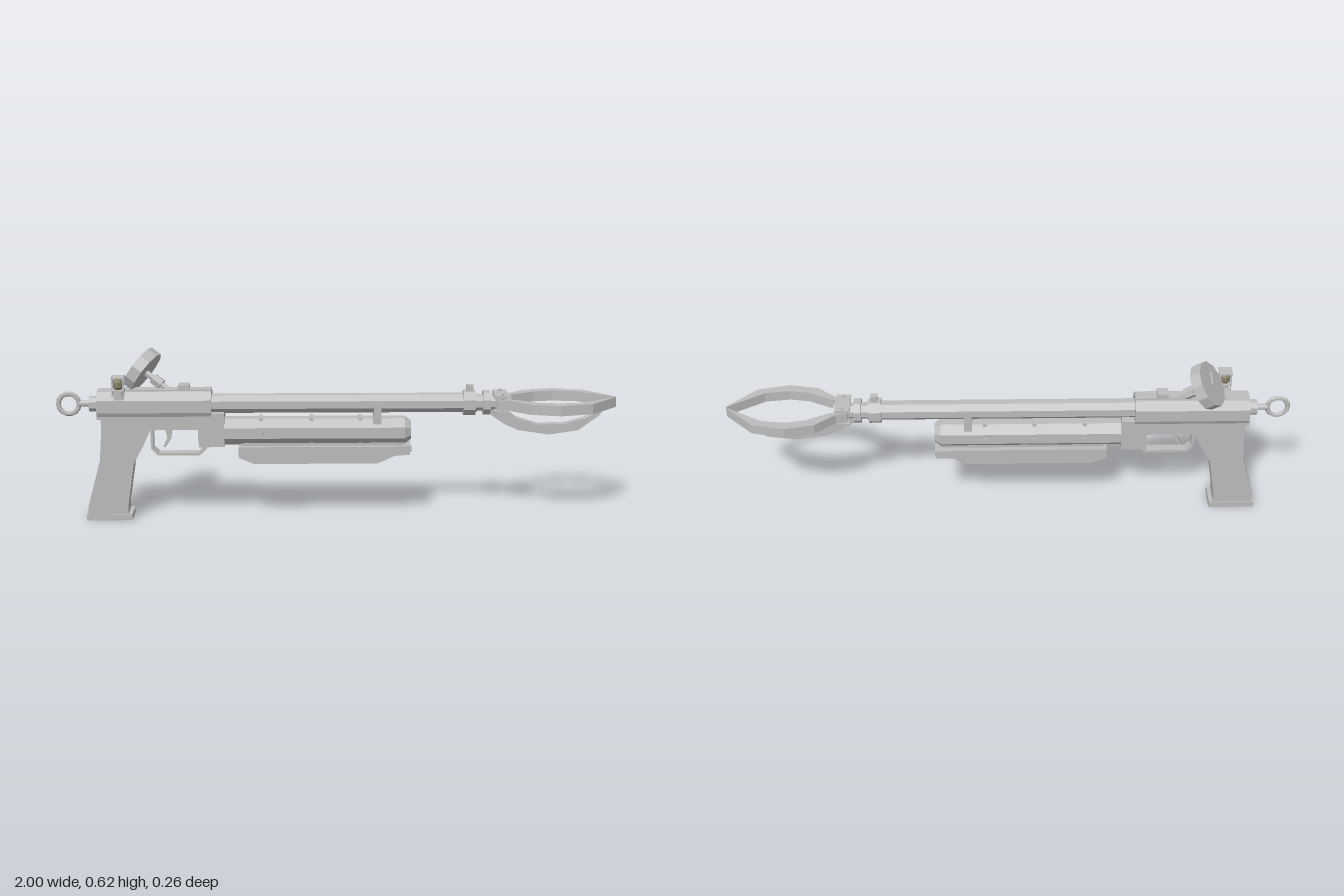
import * as THREE from 'three';

export function createModel() {
  const model = new THREE.Group();
  model.name = 'clawLauncher';
  const metal = new THREE.MeshStandardMaterial({ color: 0xbcbcbc, flatShading: true });
  metal.name = 'grey metal';
  const glass = new THREE.MeshStandardMaterial({ color: 0x86826a, flatShading: true });
  glass.name = 'olive glass';

  function add(name, geometry, material = metal) {
    const mesh = new THREE.Mesh(geometry, material);
    mesh.name = name;
    model.add(mesh);
    return mesh;
  }
  // Box given by its limits on each axis
  function box(name, x0, x1, y0, y1, z0, z1) {
    const g = new THREE.BoxGeometry(x1 - x0, y1 - y0, z1 - z0);
    g.translate((x0 + x1) / 2, (y0 + y1) / 2, (z0 + z1) / 2);
    return add(name, g);
  }
  // Faceted rod along x; r0 at the rear, r1 at the front
  function rod(name, x0, x1, y, r0, r1 = r0, sides = 8, z = 0) {
    const g = new THREE.CylinderGeometry(r1, r0, x1 - x0, sides, 1, false, Math.PI / sides);
    g.rotateZ(-Math.PI / 2).translate((x0 + x1) / 2, y, z);
    return add(name, g);
  }
  function extrude(points, depth, holes = []) {
    const toV = p => p.map(([a, b]) => new THREE.Vector2(a, b));
    const shape = new THREE.Shape(toV(points));
    holes.forEach(h => shape.holes.push(new THREE.Path(toV(h))));
    return new THREE.ExtrudeGeometry(shape, { depth, bevelEnabled: false }).translate(0, 0, -depth / 2);
  }
  // Side profile centred on z = 0
  const side = (name, points, depth, holes) => add(name, extrude(points, depth, holes));
  // Cross-section in (z, y) swept from x0 to x1
  function section(name, points, x0, x1) {
    const g = extrude(points, x1 - x0);
    g.rotateY(Math.PI / 2).translate((x0 + x1) / 2, 0, 0);
    return add(name, g);
  }

  // Receiver, frame and grip
  section('receiver', [[-.048, .385], [.048, .385], [.055, .40], [.055, .445], [.03, .472], [-.03, .472], [-.055, .445], [-.055, .40]], -.85, -.445);
  box('receiverTopRail', -.77, -.447, .465, .477, -.022, .022);
  box('rearSight', -.563, -.522, .47, .492, -.022, .022);
  box('rearBlock', -.85, -.8, .374, .39, -.048, .048);
  side('gripAndFrame', [[-.837, .39], [-.837, .33], [-.845, .225], [-.893, .05], [-.893, .02], [-.75, .02],
    [-.75, .05], [-.725, .21], [-.69, .275], [-.662, .335], [-.44, .335], [-.44, .39]], .09);
  box('gripBase', -.9, -.735, 0, .022, -.048, .048);
  box('frontBlock', -.49, -.4, .272, .395, -.047, .047);

  // Trigger and guard
  side('triggerGuard', [[-.665, .335], [-.665, .258], [-.64, .233], [-.49, .233], [-.465, .258], [-.465, .275], [-.49, .275], [-.49, .335]], .034,
    [[[-.655, .332], [-.655, .262], [-.636, .243], [-.494, .243], [-.478, .26], [-.495, .275], [-.495, .332]]]);
  side('trigger', [[-.615, .34], [-.59, .34], [-.592, .295], [-.612, .262], [-.622, .262], [-.606, .296]], .018);

  // Barrel and its collars
  rod('barrel', -.45, .5, .422, .035);
  rod('muzzleCollar', .452, .495, .422, .046);
  rod('muzzleNeck', .49, .525, .422, .03);
  rod('muzzleRing', .522, .548, .422, .044);
  rod('clawNeck', .54, .62, .422, .028);
  box('frontSight', .463, .487, .455, .487, -.012, .012);
  box('barrelPost', .132, .16, .345, .432, -.037, .037);

  // Air tank with small side bands
  rod('tank', -.41, .243, .322, .051);
  rod('tankCap', .243, .266, .322, .051, .034);
  for (const x of [-.27, -.09, .085]) {
    for (const y of [.278, .367]) box('tankBand', x - .007, x + .007, y - .006, y + .006, -.026, .026);
    for (const z of [-.048, .048]) box('tankStud', x - .007, x + .007, .316, .328, z - .006, z + .006);
  }

  // Fore grip with its front cross bar
  side('foreGrip', [[-.35, .27], [-.35, .23], [-.295, .208], [.147, .208], [.205, .235], [.25, .24], [.25, .27]], .086);
  box('foreGripRail', -.34, .25, .262, .28, -.025, .025);
  box('crossBar', .235, .266, .262, .274, -.056, .056);
  for (const s of [-1, 1]) {
    box('sidePlate', .205, .262, .24, .272, s * .046 - .003, s * .046 + .003);
    box('barEnd', .24, .266, .255, .277, s * .053 - .004, s * .053 + .004);
  }

  // Claw mount
  for (const y of [.395, .451]) box('clawPlate', .56, .612, y - .005, y + .005, -.05, .05);
  box('clawHub', .565, .605, .398, .448, -.03, .03);
  for (const z of [-.037, .037]) {
    const pin = add('clawPin', new THREE.CylinderGeometry(.008, .008, .076, 6));
    pin.position.set(.588, .423, z);
  }

  // Two side claws and one lower claw
  for (const s of [-1, 1]) {
    const pts = [[.57, .025], [.57, .046], [.61, .052], [.68, .11], [.785, .132], [.9, .105], [.985, .018], [1, .001],
      [.975, .017], [.87, .083], [.785, .094], [.715, .083], [.635, .042]].map(([x, z]) => [x, s * z]);
    const g = extrude(pts, .037);
    g.rotateX(Math.PI / 2).translate(0, .422, 0);
    add(s > 0 ? 'leftClaw' : 'rightClaw', g);
  }
  side('lowerClaw', [[.53, .41], [.53, .393], [.6, .345], [.65, .322], [.76, .305], [.865, .32], [.94, .375], [.96, .405],
    [.9, .368], [.82, .345], [.72, .342], [.64, .368], [.59, .41]], .028);

  // Pull ring at the rear
  rod('rearPlug', -.88, -.85, .422, .028);
  rod('pullRod', -.92, -.875, .422, .011);
  add('pullRing', new THREE.TorusGeometry(.037, .009, 6, 14)).position.set(-.954, .422, 0);

  // Pressure gauge on a tilted stem
  const axis = new THREE.Vector3(-.79, .57, -.24).normalize();
  const foot = new THREE.Vector3(-.605, .475, -.005);
  function gaugePart(name, r, from, to, sides) {
    const m = add(name, new THREE.CylinderGeometry(r, r, to - from, sides));
    m.quaternion.setFromUnitVectors(new THREE.Vector3(0, 1, 0), axis);
    m.position.copy(foot).addScaledVector(axis, (from + to) / 2);
    return m;
  }
  gaugePart('gaugeStem', .012, -.01, .1, 6);
  gaugePart('gaugeNut', .021, .022, .06, 6);
  const gauge = gaugePart('gaugeBody', .084, .092, .132, 11);
  const needle = new THREE.Mesh(new THREE.BoxGeometry(.006, .006, .05), metal);
  needle.name = 'gaugeNeedle';
  needle.position.set(.006, .022, .018);
  needle.rotation.y = .4;
  const hub = new THREE.Mesh(new THREE.CylinderGeometry(.008, .008, .008, 6), metal);
  hub.name = 'needleHub';
  hub.position.y = .023;
  gauge.add(needle, hub);

  // Caged glass vial beside the receiver
  box('vialArm', -.785, -.752, .45, .468, .015, .065);
  box('vialStand', -.782, -.756, .463, .487, .048, .07);
  box('vialFloor', -.79, -.748, .484, .488, .04, .08);
  box('vialRoof', -.792, -.746, .531, .536, .038, .084);
  for (const x of [-.788, -.75]) {
    for (const z of [.042, .078]) box('vialPost', x - .002, x + .002, .465, .533, z - .002, z + .002);
  }
  const bottle = new THREE.LatheGeometry([[0, -.021], [.012, -.018], [.018, -.009], [.018, .009], [.012, .018], [0, .021]]
    .map(([x, y]) => new THREE.Vector2(x, y)), 8);
  add('vial', bottle, glass).position.set(-.769, .507, .06);

  return model;
}
